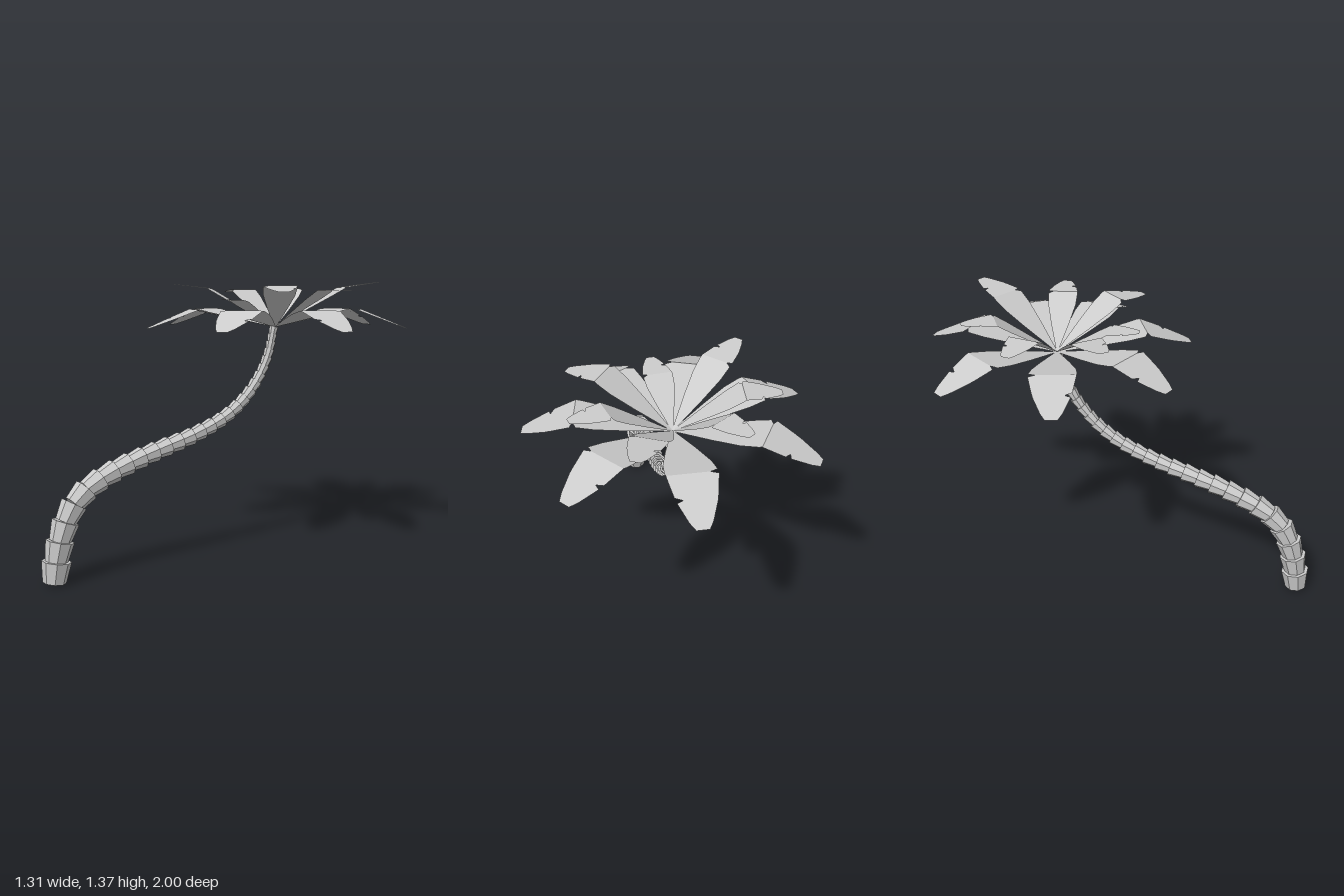
import * as THREE from 'three';

const CROWN = new THREE.Vector3(-0.012, 1.13, -0.327);

// Outline rows along a frond: [distance, left width, right width], with torn notches
const OUTLINE = [
  [0, 0.04, 0.04], [0.3, 0.6, 0.6], [0.5, 0.92, 0.92], [0.62, 1, 0.98],
  [0.645, 0.7, 0.96], [0.66, 1, 0.95], [0.79, 0.82, 0.8],
  [0.81, 0.78, 0.5], [0.825, 0.76, 0.74], [0.95, 0.44, 0.44], [1, 0.25, 0.25],
];
const BEND = 0.645; // where a frond bends, as a share of its length

// A flat leaf running out from the crown: straight up to the bend, then straight to the tip
function makeFrond(angle, length, halfWidth, bendRise, tipRise, flip) {
  const dx = Math.sin(angle), dz = -Math.cos(angle);
  const pos = [], idx = [];
  OUTLINE.forEach(([t, a, b], i) => {
    const [l, r] = flip ? [b, a] : [a, b];
    const y = t < BEND ? bendRise * t / BEND
      : bendRise + (tipRise - bendRise) * (t - BEND) / (1 - BEND);
    for (const w of [-l, 0, r]) {
      pos.push(dx * t * length - dz * w * halfWidth, y, dz * t * length + dx * w * halfWidth);
    }
    if (i > 0) {
      for (let k = 0; k < 2; k++) {
        const p = (i - 1) * 3 + k, q = i * 3 + k;
        idx.push(p, p + 1, q + 1, p, q + 1, q);
      }
    }
  });
  const geo = new THREE.BufferGeometry();
  geo.setAttribute('position', new THREE.Float32BufferAttribute(pos, 3));
  geo.setIndex(idx);
  geo.computeVertexNormals();
  return geo;
}

export function createModel() {
  const model = new THREE.Group();
  const bark = new THREE.MeshStandardMaterial({ color: 0xcccccc, flatShading: true });
  const leaf = new THREE.MeshStandardMaterial({ color: 0xcccccc, flatShading: true, side: THREE.DoubleSide });

  // Trunk: flared eight-sided rings stacked along a leaning curve
  const trunk = new THREE.Group();
  trunk.name = 'trunk';
  const path = new THREE.CatmullRomCurve3([
    [0.95, 0.005], [0.935, 0.11], [0.895, 0.26], [0.825, 0.375], [0.71, 0.45], [0.55, 0.51],
    [0.37, 0.56], [0.18, 0.61], [0, 0.68], [-0.12, 0.76], [-0.22, 0.87], [-0.285, 0.99], [-0.322, 1.13],
  ].map(([z, y]) => new THREE.Vector3(-0.015, y, z)));
  const rings = 28;
  const along = (i) => { const t = i / rings; return Math.min(1, 1.45 * t - 0.45 * t * t); };
  const up = new THREE.Vector3(0, 1, 0);
  for (let i = 0; i < rings; i++) {
    const u = along(i);
    const a = path.getPointAt(u), b = path.getPointAt(along(i + 1));
    const axis = b.clone().sub(a);
    const radius = 0.069 - 0.045 * u;
    const geo = new THREE.CylinderGeometry(radius, radius * 0.78, axis.length() * 1.04, 8);
    geo.rotateY(Math.PI / 8);
    const ring = new THREE.Mesh(geo, bark);
    ring.name = 'trunkRing';
    ring.position.copy(a).add(b).multiplyScalar(0.5);
    ring.quaternion.setFromUnitVectors(up, axis.normalize());
    trunk.add(ring);
  }
  model.add(trunk);

  // Crown: a drooping lower tier and a raised upper tier, seven fronds each, 50 degrees apart
  const crown = new THREE.Group();
  crown.name = 'crown';
  crown.position.copy(CROWN);
  const step = THREE.MathUtils.degToRad(50);
  // Upper fronds: [length, half width, height at the bend, height at the tip]
  const upper = [
    [0.56, 0.085, 0.205, 0.232], [0.48, 0.075, 0.19, 0.185], [0.53, 0.085, 0.21, 0.18],
    [0.41, 0.07, 0.14, 0.145], [0.54, 0.08, 0.2, 0.222], [0.48, 0.08, 0.195, 0.18],
    [0.45, 0.075, 0.2, 0.2],
  ];
  for (let i = 0; i < 7; i++) {
    const low = new THREE.Mesh(makeFrond(i * step, 0.673, 0.11, 0.093, 0, i % 2 === 1), leaf);
    low.name = 'lowerFrond';
    const high = new THREE.Mesh(makeFrond((i + 0.5) * step, ...upper[i], i % 2 === 0), leaf);
    high.name = 'upperFrond';
    crown.add(low, high);
  }
  model.add(crown);
  return model;
}
